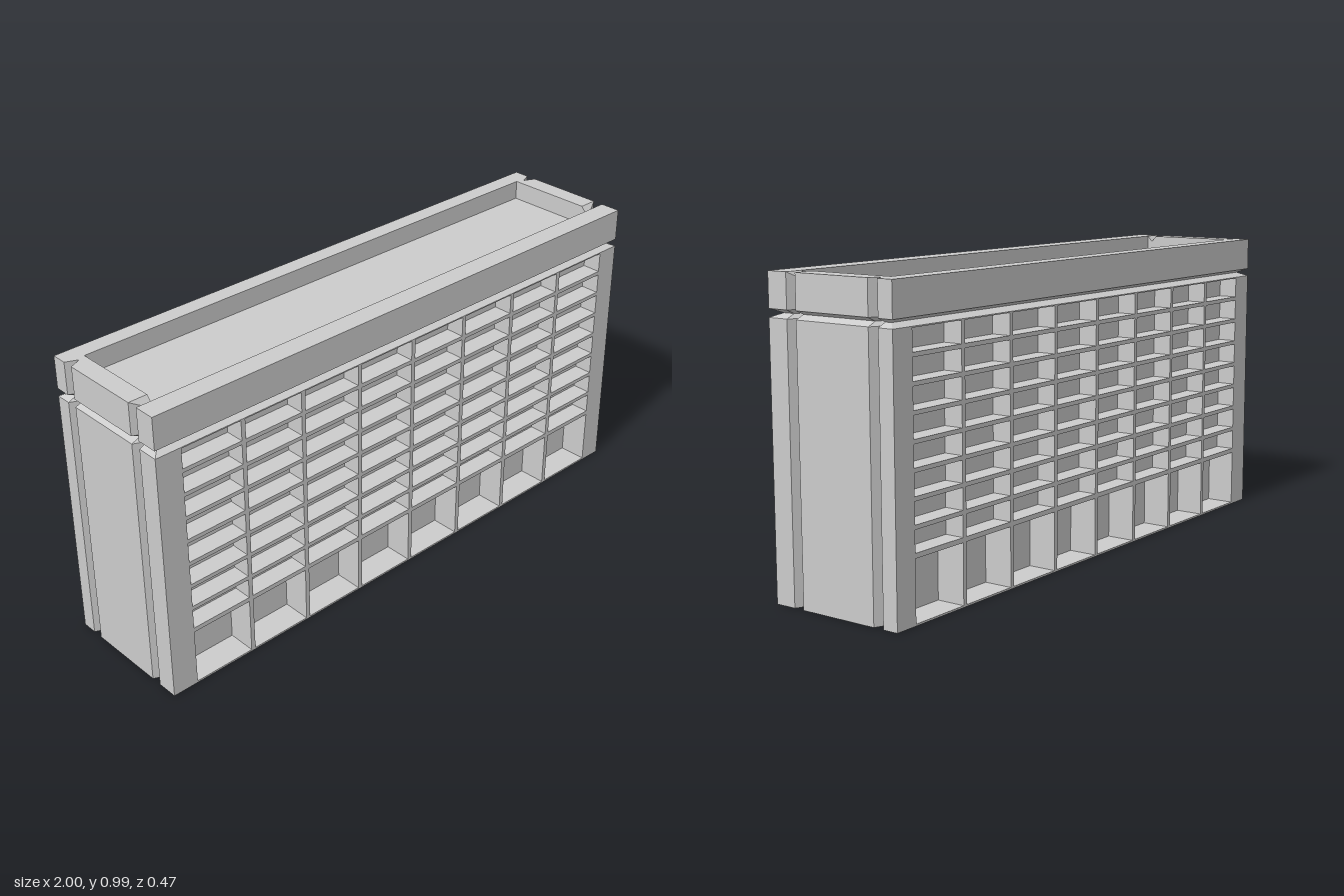
import * as THREE from 'three';

const HX = 1, HZ = 0.235, TOP = 0.99;   // half width, half depth, height
const END = 0.925;                      // inner face of the end walls
const SKIN = 0.17, CORE = 0.138;        // back of window and ground recesses
const SPLIT = 0.855;                    // top of the storeys
const COLS = 8, PITCH = 0.2305, X0 = -0.91, CELL = 0.215;
const GF = 0.145, GB = -0.165, GW = 0.018, GD = 0.04; // side grooves

const material = new THREE.MeshStandardMaterial({ color: 0xcccccc, flatShading: true });

function add(parent, name, geometry) {
  const mesh = new THREE.Mesh(geometry, material);
  mesh.name = name;
  parent.add(mesh);
  return mesh;
}

// Box given by its two extreme corners
function box(parent, name, [x0, y0, z0], [x1, y1, z1]) {
  const mesh = add(parent, name, new THREE.BoxGeometry(x1 - x0, y1 - y0, z1 - z0));
  mesh.position.set((x0 + x1) / 2, (y0 + y1) / 2, (z0 + z1) / 2);
}

// Groove points along one side, front to back: [z, depth]
const grooves = [[GF + GW, 0], [GF, GD], [GF - GW, 0], [GB + GW, 0], [GB, GD], [GB - GW, 0]];

// Outer plan, counter-clockwise from above, with V grooves in both ends
function outerRing(y, inset = 0, dip = 0) {
  const x = HX - inset, z = HZ - inset;
  const side = s => grooves.map(([gz, d]) => [s * (x - d), y - (gz === GF ? dip : 0), gz]);
  return [[-x, y, z], [x, y, z], ...side(1), [x, y, -z], [-x, y, -z], ...side(-1).reverse()];
}

// Inner plan of the parapet, with matching points
function innerRing(y, dip = 0) {
  const x = 0.935, zf = 0.163, zb = -0.176;
  const side = s => grooves.map(([gz]) =>
    [s * x, y - (gz === GF ? dip : 0), Math.max(zb, Math.min(zf, gz))]);
  return [[-x, y, zf], [x, y, zf], ...side(1), [x, y, zb], [-x, y, zb], ...side(-1).reverse()];
}

// Skin between successive rings
function loft(rings) {
  const n = rings[0].length, index = [];
  for (let r = 0; r < rings.length - 1; r++) {
    for (let i = 0; i < n; i++) {
      const a = r * n + i, b = r * n + (i + 1) % n;
      index.push(a, b, a + n, b, b + n, a + n);
    }
  }
  const g = new THREE.BufferGeometry();
  g.setAttribute('position', new THREE.Float32BufferAttribute(rings.flat(2), 3));
  g.setIndex(index);
  const flat = g.toNonIndexed();
  flat.computeVertexNormals();
  return flat;
}

// Long facade with eight rows of windows above tall ground openings
function facadeGeometry() {
  const shape = new THREE.Shape();
  shape.moveTo(-END, 0).lineTo(END, 0).lineTo(END, SPLIT).lineTo(-END, SPLIT).closePath();
  const hole = (x, y0, y1) => {
    const p = new THREE.Path();
    p.moveTo(x, y0).lineTo(x, y1).lineTo(x + CELL, y1).lineTo(x + CELL, y0).closePath();
    shape.holes.push(p);
  };
  for (let c = 0; c < COLS; c++) {
    const x = X0 + c * PITCH;
    hole(x, 0.006, 0.197);
    for (let r = 0; r < 8; r++) {
      const top = 0.851 - r * 0.0815;
      hole(x, top - 0.068, top);
    }
  }
  return new THREE.ExtrudeGeometry(shape, { depth: HZ - SKIN, bevelEnabled: false });
}

// Solid end wall with vertical grooves
function endWallGeometry(s) {
  const plan = [[END, HZ], [HX, HZ], ...grooves.map(([z, d]) => [HX - d, z]), [HX, -HZ], [END, -HZ]];
  const shape = new THREE.Shape(plan.map(([x, z]) => new THREE.Vector2(s * x, -z)));
  const g = new THREE.ExtrudeGeometry(shape, { depth: SPLIT, bevelEnabled: false });
  return g.rotateX(-Math.PI / 2);
}

export function createModel() {
  const model = new THREE.Group();
  model.name = 'slabBuilding';

  // Storeys
  const facade = facadeGeometry();
  add(model, 'frontFacade', facade).position.z = SKIN;
  add(model, 'backFacade', facade).position.z = -HZ;
  add(model, 'leftEndWall', endWallGeometry(1));
  add(model, 'rightEndWall', endWallGeometry(-1));
  box(model, 'core', [-END, 0.197, -SKIN], [END, 0.88, SKIN]);

  // Ground floor: deeper recesses around a hollow, open underneath
  for (const s of [1, -1]) {
    const side = s > 0 ? 'front' : 'back';
    const span = (a, b) => [Math.min(s * a, s * b), Math.max(s * a, s * b)];
    const [w0, w1] = span(CORE - 0.006, CORE);
    box(model, side + 'GroundWall', [-END, 0, w0], [END, 0.197, w1]);
    const [d0, d1] = span(CORE, SKIN);
    box(model, side + 'GroundFloor', [-END, 0, d0], [END, 0.006, d1]);
    for (let c = 0; c <= COLS; c++) {
      const x0 = c === 0 ? -END : X0 + c * PITCH - (PITCH - CELL);
      const x1 = c === COLS ? END : X0 + c * PITCH;
      box(model, side + 'GroundDivider', [x0, 0.006, d0], [x1, 0.197, d1]);
    }
  }
  // Slim ribs across the open underside
  for (let c = 1; c < COLS; c++) {
    const x = X0 + c * PITCH;
    box(model, 'undersideRib', [x - 0.0155, 0, -CORE], [x, 0.012, CORE]);
  }

  // Roof band with a V groove below and a raised parapet
  add(model, 'roofBand', loft([
    outerRing(SPLIT), outerRing(0.868, 0.03), outerRing(0.881),
    outerRing(TOP, 0, 0.02), innerRing(TOP, 0.02), innerRing(0.9),
  ]));
  box(model, 'roof', [-0.94, 0.88, -0.18], [0.94, 0.925, 0.168]);

  return model;
}
